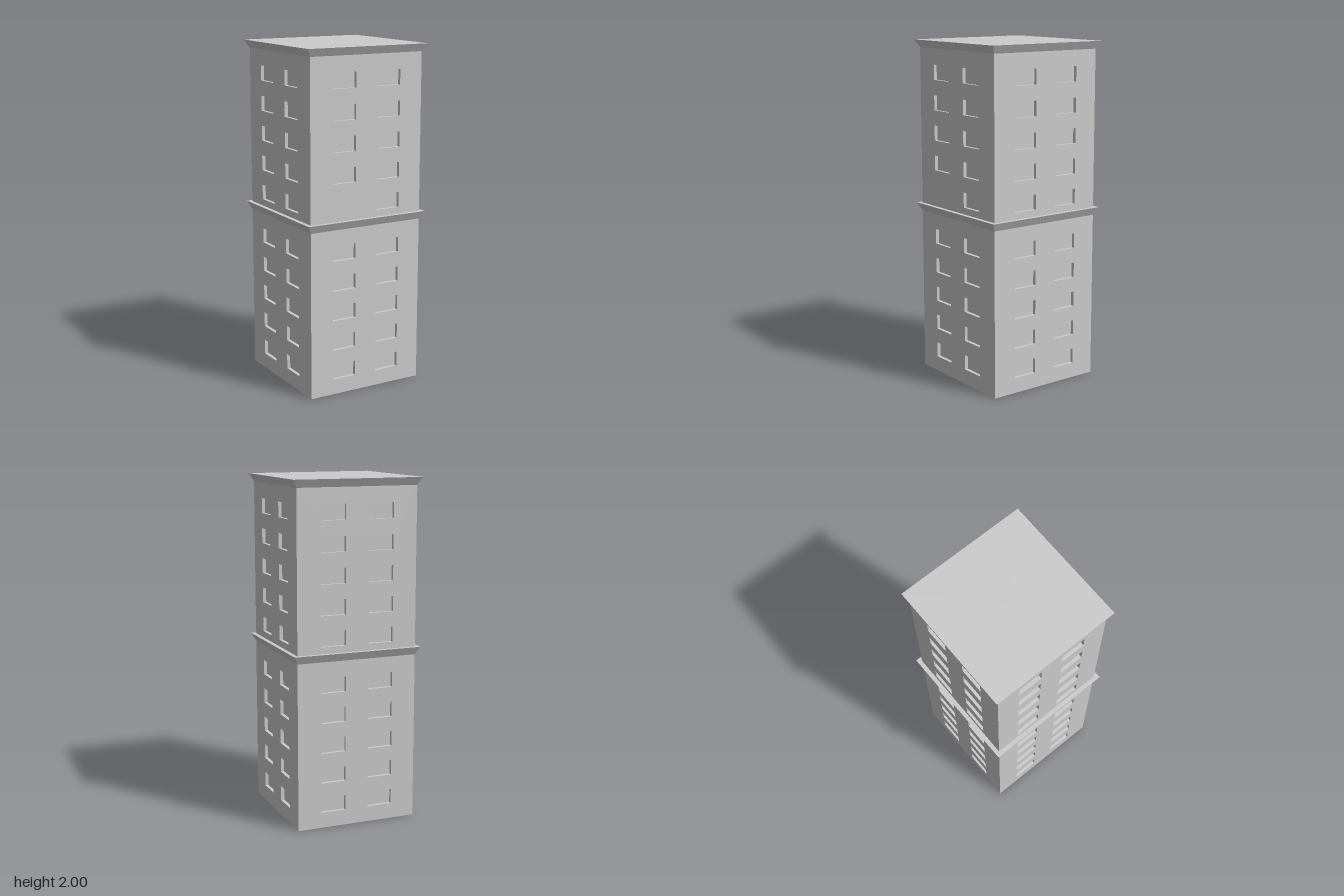
import * as THREE from 'three';

const HALF = 0.363;         // half width of the tower
const DEPTH = 0.02;         // window recess
const WALL_TOP = 1.955;
const ROWS = [0.135, 0.312, 0.489, 0.666, 0.843, 1.11, 1.287, 1.464, 1.641, 1.818];
const COLUMNS = [-0.146, 0.144];
const WIN_W = 0.15, WIN_H = 0.088;

const material = new THREE.MeshStandardMaterial({ color: 0xcccccc, flatShading: true });

function rectangle(target, x0, y0, x1, y1) {
  target.moveTo(x0, y0);
  target.lineTo(x1, y0);
  target.lineTo(x1, y1);
  target.lineTo(x0, y1);
  target.closePath();
  return target;
}

// Wall panel pierced by window openings; stops short on one end so four panels interlock
function wallGeometry(isFront) {
  const shape = rectangle(new THREE.Shape(), -HALF, 0, HALF - DEPTH, WALL_TOP);
  ROWS.forEach((y, row) => COLUMNS.forEach((x, column) => {
    if (isFront && row === 5 && column === 0) return; // the one blank bay
    shape.holes.push(rectangle(new THREE.Path(),
      x - WIN_W / 2, y - WIN_H / 2, x + WIN_W / 2, y + WIN_H / 2));
  }));
  const geometry = new THREE.ExtrudeGeometry(shape, { depth: DEPTH, bevelEnabled: false });
  return geometry.translate(0, 0, HALF - DEPTH);
}

// Square cornice flaring outward to a flat top
function corniceGeometry(bottom, top) {
  const geometry = new THREE.CylinderGeometry(0.388 * Math.SQRT2, HALF * Math.SQRT2, top - bottom, 4);
  return geometry.rotateY(Math.PI / 4).translate(0, (bottom + top) / 2, 0);
}

export function createModel() {
  const model = new THREE.Group();
  model.name = 'towerBlock';

  const add = (name, geometry) => {
    const mesh = new THREE.Mesh(geometry, material);
    mesh.name = name;
    model.add(mesh);
    return mesh;
  };

  // Inner core forms the window backs
  const inner = 2 * (HALF - DEPTH);
  add('windowCore', new THREE.BoxGeometry(inner, WALL_TOP, inner).translate(0, WALL_TOP / 2, 0));

  // Four walls
  ['frontWall', 'leftWall', 'backWall', 'rightWall'].forEach((name, i) => {
    add(name, wallGeometry(i === 0)).rotation.y = i * Math.PI / 2;
  });

  // Cornices
  add('middleCornice', corniceGeometry(0.98, 1.027));
  add('roofCornice', corniceGeometry(WALL_TOP, 2));

  return model;
}
